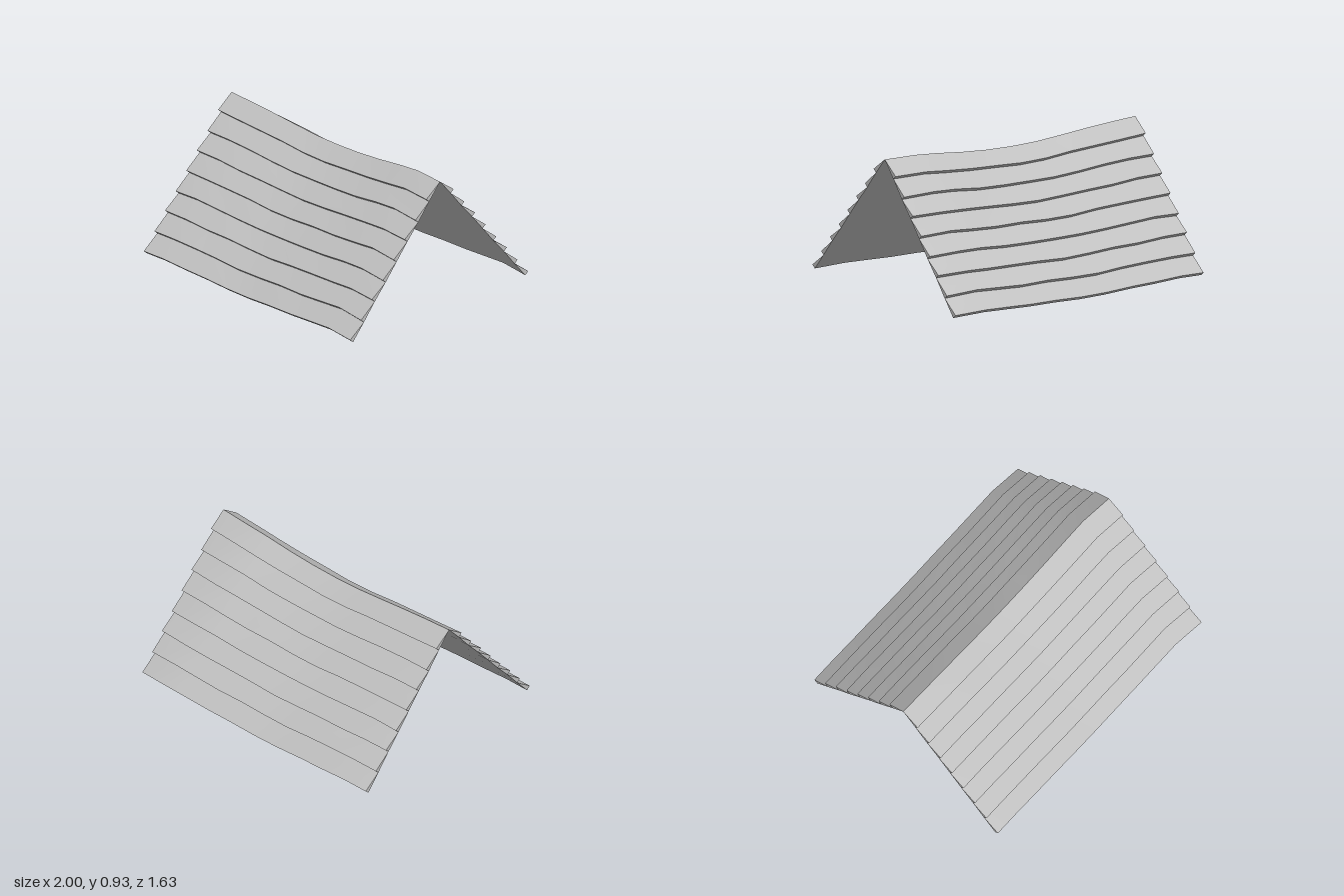
import * as THREE from 'three';
import { toCreasedNormals } from 'three/addons/utils/BufferGeometryUtils.js';

const ROWS = 8;
// Stations along the roof, and how far the ridge and the eaves sag there
const X = [-1, -0.8, -0.6, -0.4, -0.2, 0, 0.2, 0.4, 0.6, 0.77, 1];
const RIDGE_SAG = [0, -0.008, -0.02, -0.035, -0.048, -0.05, -0.043, -0.027, -0.004, 0.01, 0.01];
const EAVE_SAG = [0, 0.005, -0.002, -0.005, -0.013, -0.013, -0.004, 0, 0.01, 0.018, 0.01];

// Point on the sloping underside: station i, row k, side +1 front or -1 back
function basePoint(i, k, side) {
  const t = k / ROWS;
  const w = (1 - t) ** 2;
  const x = X[i] + (i === 0 ? 0.02 * t : 0);
  const wobble = k > 0 && k < ROWS ? 0.003 * Math.sin(i * 1.9 + k * 2.3) : 0;
  const y = THREE.MathUtils.lerp(0.92, 0.0135, t) + RIDGE_SAG[i] * w + EAVE_SAG[i] * (1 - w) + wobble;
  const shift = (i === X.length - 1 ? 0.005 : -0.016) + 0.008 * t;
  return [x, y, shift + side * 0.0972 * k];
}

// Raised lower lip of a shingle row
function lipPoint(i, k, side) {
  const [x, y, z] = basePoint(i, k, side);
  return [x, y + 0.022, z + side * 0.026];
}

// Collects triangles, reversing them for the mirrored side
function makeBuilder(side) {
  const positions = [];
  const tri = (a, b, c) => positions.push(...a, ...(side > 0 ? b : c), ...(side > 0 ? c : b));
  const quad = (a, b, c, d) => { tri(a, b, c); tri(a, c, d); };
  const build = () => {
    const geometry = new THREE.BufferGeometry();
    geometry.setAttribute('position', new THREE.Float32BufferAttribute(positions, 3));
    return toCreasedNormals(geometry, 0.4);
  };
  return { tri, quad, build };
}

// One wedge-shaped course: sloping top, lower lip and closed ends
function shingleRow(k, side) {
  const b = makeBuilder(side);
  const last = X.length - 1;
  for (let i = 0; i < last; i++) {
    const lipA = lipPoint(i, k, side);
    const lipB = lipPoint(i + 1, k, side);
    b.quad(basePoint(i, k - 1, side), lipA, lipB, basePoint(i + 1, k - 1, side));
    b.quad(lipA, basePoint(i, k, side), basePoint(i + 1, k, side), lipB);
  }
  b.tri(basePoint(last, k - 1, side), lipPoint(last, k, side), basePoint(last, k, side));
  b.tri(basePoint(0, k - 1, side), basePoint(0, k, side), lipPoint(0, k, side));
  return b.build();
}

// Continuous underside of one slope
function underside(side) {
  const b = makeBuilder(side);
  for (let k = 1; k <= ROWS; k++) {
    for (let i = 0; i < X.length - 1; i++) {
      b.quad(basePoint(i, k - 1, side), basePoint(i + 1, k - 1, side),
        basePoint(i + 1, k, side), basePoint(i, k, side));
    }
  }
  return b.build();
}

export function createModel() {
  const roof = new THREE.Group();
  roof.name = 'shingledRoof';
  const grey = new THREE.MeshStandardMaterial({ color: 0xc0c0c0 });
  grey.name = 'roofGrey';

  for (const side of [1, -1]) {
    const slope = new THREE.Group();
    slope.name = side > 0 ? 'frontSlope' : 'backSlope';
    const add = (geometry, name) => {
      const mesh = new THREE.Mesh(geometry, grey);
      mesh.name = name;
      slope.add(mesh);
    };
    for (let k = 1; k <= ROWS; k++) add(shingleRow(k, side), `shingleRow${k}`);
    add(underside(side), 'underside');
    roof.add(slope);
  }
  return roof;
}
